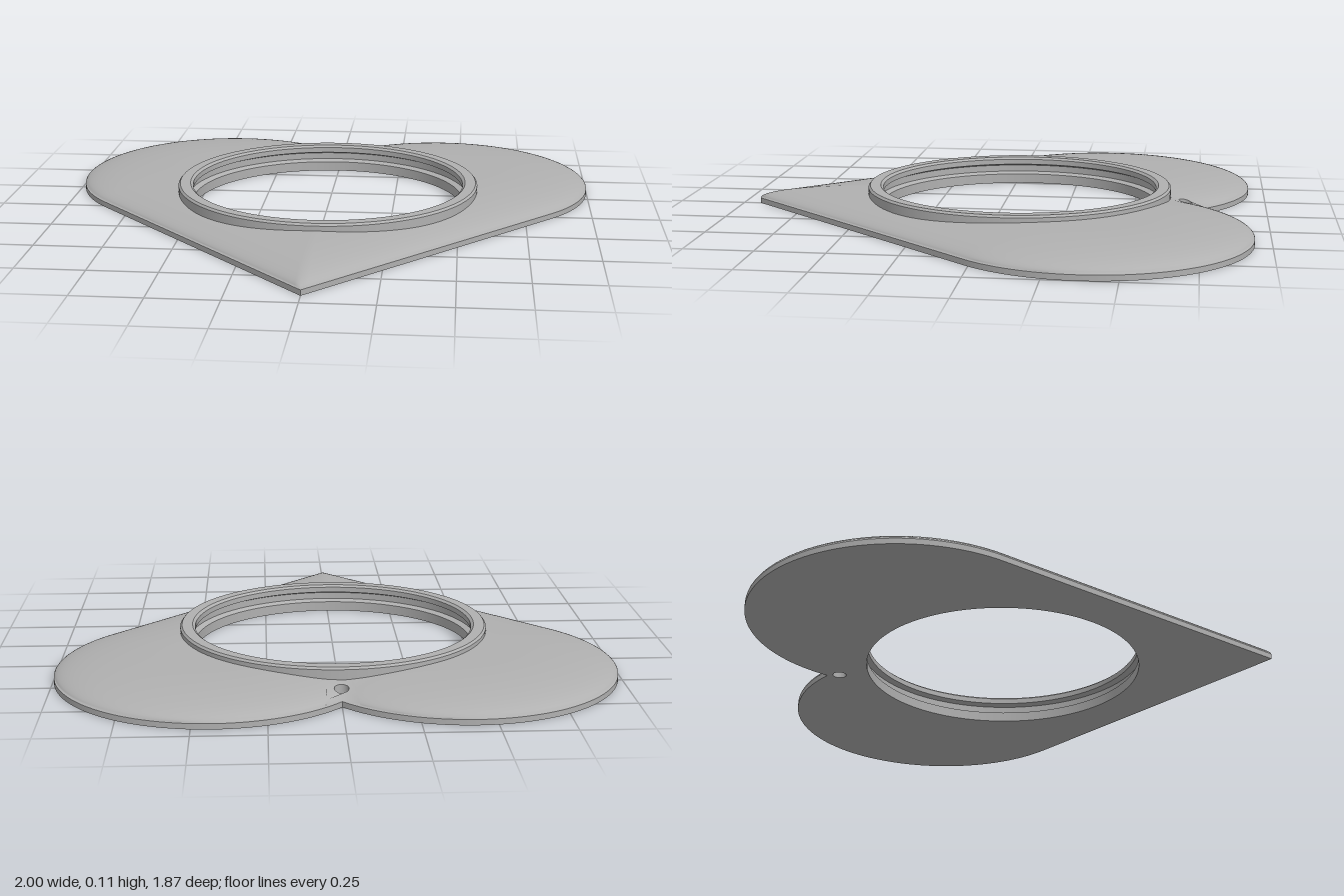
import * as THREE from 'three';

const R = 0.57, CX = 0.43, CZ = -0.37, TIP = 0.935;   // lobe circle and heart tip
const RING_Z = -0.072, HOLE_R = 0.513, SEAT_R = 0.54; // large round opening
const PIN_Z = -0.697, PIN_R = 0.025;                  // small hanging hole
const EDGE = 0.02, RISE = 0.063, REACH = 0.4;         // domed section
const ROWS = 22, GAP = 4;

// Right half from notch to tip, then its mirror image back to the notch
function heartOutline() {
  const line = Math.asin(R / Math.hypot(CX, TIP - CZ)) + Math.atan2(CX, TIP - CZ);
  const a0 = -Math.PI + Math.acos(CX / R);
  const half = [];
  for (let i = 0; i <= 90; i++) {
    const a = a0 + (line - a0) * i / 90;
    half.push([i ? CX + R * Math.cos(a) : 0, CZ + R * Math.sin(a)]);
  }
  const [tx, tz] = half[90];
  for (let i = 1; i <= 40; i++) half.push([tx * (1 - i / 40), tz + (TIP - tz) * i / 40]);
  return { half, loop: [...half, ...half.slice(1, -1).reverse().map(([x, z]) => [-x, z])] };
}

export function createModel() {
  const model = new THREE.Group();
  const grey = new THREE.MeshStandardMaterial({ color: 0xb0b0b0 });
  grey.name = 'grey';
  const { half, loop } = heartOutline();
  const N = loop.length, M = half.length - 1;

  const add = (name, geometry) => {
    const mesh = new THREE.Mesh(geometry, grey);
    mesh.name = name;
    model.add(mesh);
    return mesh;
  };

  // Height rises as a quarter ellipse with distance from the outline
  const edgeDistance = (x, z) => {
    x = Math.abs(x);
    let best = Infinity;
    for (let i = 0; i < M; i++) {
      const [ax, az] = half[i], dx = half[i + 1][0] - ax, dz = half[i + 1][1] - az;
      const t = Math.min(1, Math.max(0, ((x - ax) * dx + (z - az) * dz) / (dx * dx + dz * dz)));
      best = Math.min(best, (x - ax - t * dx) ** 2 + (z - az - t * dz) ** 2);
    }
    return Math.sqrt(best);
  };
  const dome = (x, z) => {
    const u = Math.min(1, edgeDistance(x, z) / REACH);
    return EDGE + RISE * Math.sqrt(1 - (1 - u) ** 2);
  };

  // Skin joining successive rows of points
  const skin = (rows) => {
    const n = rows[0].length, index = [];
    for (let j = 0; j + 1 < rows.length; j++) {
      for (let i = 0; i + 1 < n; i++) {
        const a = j * n + i, b = a + n;
        index.push(a, a + 1, b, a + 1, b + 1, b);
      }
    }
    const g = new THREE.BufferGeometry();
    g.setAttribute('position', new THREE.Float32BufferAttribute(rows.flat(2), 3));
    g.setIndex(index);
    g.computeVertexNormals();
    return g;
  };

  // Smooth normals taken from the slope of the dome
  const domeNormals = (g) => {
    const p = g.attributes.position, e = 0.004, v = new THREE.Vector3();
    for (let i = 0; i < p.count; i++) {
      const x = p.getX(i), z = p.getZ(i);
      const clampSlope = (s) => Math.max(-1.2, Math.min(1.2, s));
      v.set(clampSlope((dome(x - e, z) - dome(x + e, z)) / (2 * e)), 1,
        clampSlope((dome(x, z - e) - dome(x, z + e)) / (2 * e))).normalize();
      g.attributes.normal.setXYZ(i, v.x, v.y, v.z);
    }
    return g;
  };

  // Domed top, spreading from the ring to the outline
  const topPoint = (k, j) => {
    const [ox, oz] = loop[(k + N) % N];
    const a = Math.atan2(oz - RING_Z, ox), s = 1 - (1 - j / ROWS) ** 2;
    const ix = SEAT_R * Math.cos(a), iz = RING_Z + SEAT_R * Math.sin(a);
    const x = ix + (ox - ix) * s, z = iz + (oz - iz) * s;
    return [x, j === ROWS ? EDGE : dome(x, z), z];
  };
  const rows = [];
  for (let j = 0; j <= ROWS; j++) {
    const row = [];
    for (let k = GAP; k <= N - GAP; k++) row.push(topPoint(k, j));
    rows.push(row);
  }
  add('domedTop', domeNormals(skin(rows)));

  // Notch section of the top, pierced by the hanging hole
  const border = [];
  for (let j = 0; j < ROWS; j++) border.push(topPoint(-GAP, j));
  for (let k = -GAP; k < GAP; k++) border.push(topPoint(k, ROWS));
  for (let j = ROWS; j > 0; j--) border.push(topPoint(GAP, j));
  for (let k = GAP; k > -GAP; k--) border.push(topPoint(k, 0));
  const notch = new THREE.Shape(border.map(([x, , z]) => new THREE.Vector2(x, -z)));
  notch.holes.push(new THREE.Path().absarc(0, -PIN_Z, PIN_R, 0, Math.PI * 2, true));
  const notchGeo = new THREE.ShapeGeometry(notch, 16).rotateX(-Math.PI / 2);
  const np = notchGeo.attributes.position;
  for (let i = 0; i < np.count; i++) np.setY(i, dome(np.getX(i), np.getZ(i)));
  add('notchTop', domeNormals(notchGeo));

  // Wall of the hanging hole
  const pin = [[], []];
  for (let i = 0; i <= 32; i++) {
    const a = -i / 32 * Math.PI * 2;
    const x = PIN_R * Math.cos(a), z = PIN_Z + PIN_R * Math.sin(a);
    pin[0].push([x, dome(x, z), z]);
    pin[1].push([x, 0, z]);
  }
  add('hangingHole', skin(pin));

  // Thin upright rim, one run per side so the tip and notch stay sharp
  for (const [name, from, to] of [['leftRim', 0, M], ['rightRim', M, N]]) {
    const run = [];
    for (let k = from; k <= to; k++) run.push(loop[k % N]);
    add(name, skin([EDGE, 0].map((y) => run.map(([x, z]) => [x, y, z]))));
  }

  // Flat underside with both openings
  const base = new THREE.Shape(loop.map(([x, z]) => new THREE.Vector2(x, z)));
  base.holes.push(new THREE.Path().absarc(0, RING_Z, HOLE_R, 0, Math.PI * 2, true));
  base.holes.push(new THREE.Path().absarc(0, PIN_Z, PIN_R, 0, Math.PI * 2, true));
  add('underside', new THREE.ShapeGeometry(base, 64).rotateX(Math.PI / 2));

  // Raised ring with an inner groove; each band is separate to keep its edges sharp
  const profile = [[0.569, 0.04], [0.569, 0.098], [0.562, 0.106], [0.523, 0.106], [HOLE_R, 0.098],
    [HOLE_R, 0.078], [0.535, 0.07], [0.535, 0.045], [HOLE_R, 0.037], [HOLE_R, 0]];
  const ring = new THREE.Group();
  ring.name = 'ring';
  ring.position.z = RING_Z;
  for (let i = 0; i + 1 < profile.length; i++) {
    const band = profile.slice(i, i + 2).map(([r, y]) => new THREE.Vector2(r, y));
    const mesh = new THREE.Mesh(new THREE.LatheGeometry(band, 128), grey);
    mesh.name = 'ringBand';
    ring.add(mesh);
  }
  model.add(ring);
  return model;
}
